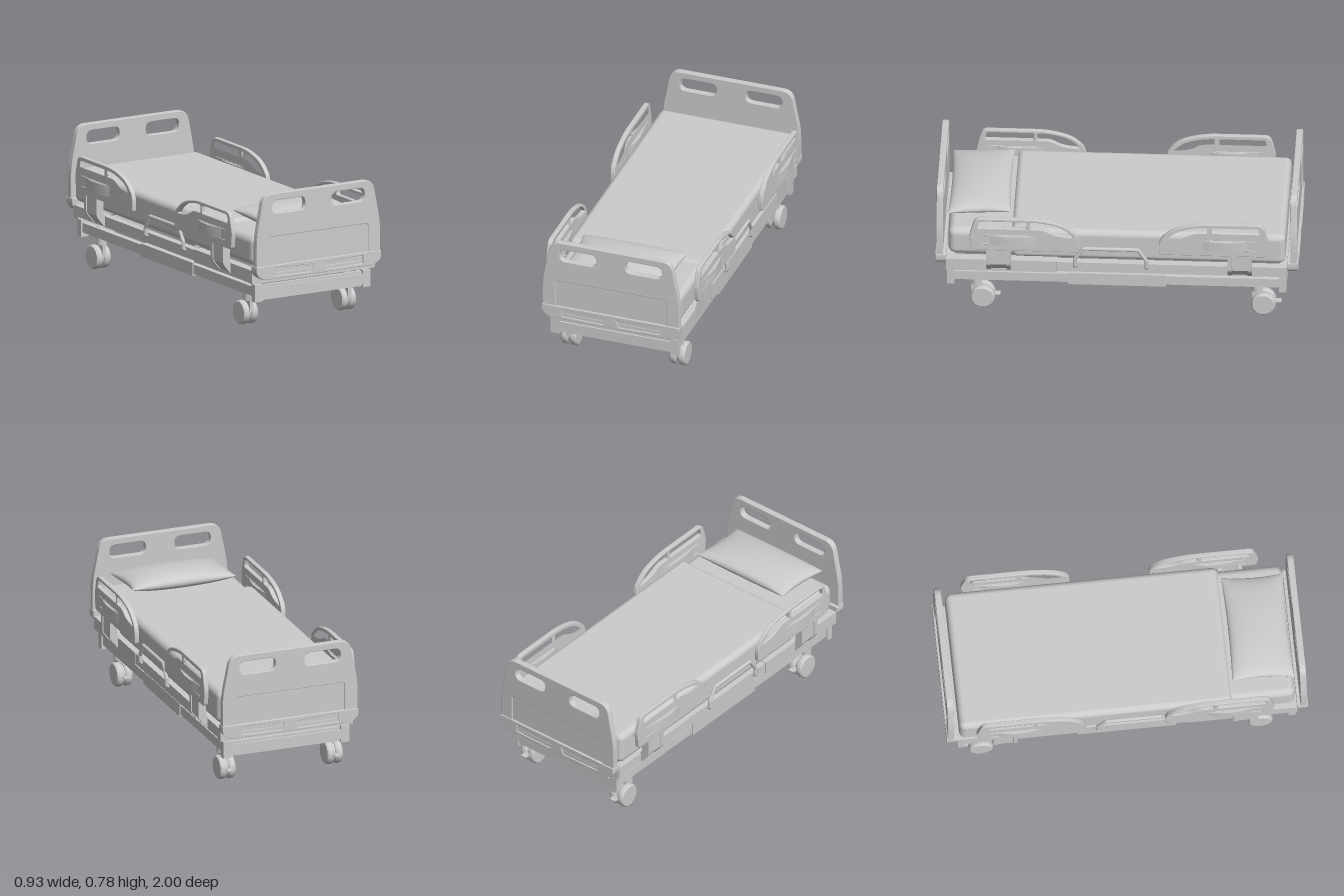
import * as THREE from 'three';
import { RoundedBoxGeometry } from 'three/addons/geometries/RoundedBoxGeometry.js';
import { toCreasedNormals } from 'three/addons/utils/BufferGeometryUtils.js';

const grey = new THREE.MeshStandardMaterial({ color: 0xcccccc });

export function createModel() {
  const root = new THREE.Group();

  function add(name, geometry, parent = root) {
    const mesh = new THREE.Mesh(geometry, grey);
    mesh.name = name;
    parent.add(mesh);
    return mesh;
  }
  // Box given by its lower and upper limits on each axis
  function box(name, x0, x1, y0, y1, z0, z1, parent = root) {
    const m = add(name, new THREE.BoxGeometry(x1 - x0, y1 - y0, z1 - z0), parent);
    m.position.set((x0 + x1) / 2, (y0 + y1) / 2, (z0 + z1) / 2);
  }
  function soft(name, w, h, d, r, x, y, z, parent = root) {
    const m = add(name, new RoundedBoxGeometry(w, h, d, 4, r), parent);
    m.position.set(x, y, z);
  }
  // Closed outline with rounded corners from [x, y, radius] points
  function rounded(points, Type = THREE.Shape) {
    const path = new Type();
    const n = points.length;
    points.forEach(([x, y, r], i) => {
      const p = new THREE.Vector2(x, y);
      const toward = (q) => new THREE.Vector2(q[0], q[1]).sub(p).setLength(r).add(p);
      const a = toward(points[(i + n - 1) % n]);
      const b = toward(points[(i + 1) % n]);
      if (i === 0) path.moveTo(a.x, a.y); else path.lineTo(a.x, a.y);
      if (r > 0) path.quadraticCurveTo(x, y, b.x, b.y);
    });
    path.closePath();
    return path;
  }
  const rect = (x0, x1, y0, y1, r) => [[x0, y0, r], [x1, y0, r], [x1, y1, r], [x0, y1, r]];
  // Extrusion from z = 0 to z = depth, bevel included
  function slab(shape, depth, bevel = 0) {
    const g = new THREE.ExtrudeGeometry(shape, {
      depth: depth - 2 * bevel, bevelEnabled: bevel > 0, bevelThickness: bevel,
      bevelSize: bevel, bevelOffset: -bevel, bevelSegments: 2, curveSegments: 10,
    });
    return toCreasedNormals(g.translate(0, 0, bevel), 0.3);
  }

  // Head and foot boards
  function endBoard(name) {
    const board = new THREE.Group();
    board.name = name;
    const outline = [[-0.36, 0.305, 0], [0.36, 0.305, 0], [0.4, 0.34, 0.02], [0.4, 0.54, 0.06],
      [0.352, 0.785, 0.055], [-0.352, 0.785, 0.055], [-0.4, 0.54, 0.06], [-0.4, 0.34, 0.02]];
    const panel = (recess) => {
      const shape = rounded(outline);
      for (const s of [-1, 1]) {
        shape.holes.push(rounded(rect(s * 0.192 - 0.107, s * 0.192 + 0.107, 0.671, 0.746, 0.037), THREE.Path));
      }
      if (recess) shape.holes.push(rounded(rect(-0.322, 0.322, 0.34, 0.541, 0.015), THREE.Path));
      return shape;
    };
    add('boardCore', slab(panel(false), 0.03, 0.004), board).position.z = 0.958;
    add('boardFace', slab(panel(true), 0.012, 0.004), board).position.z = 0.982;
    // Bumper with two shallow pockets in its outer skin
    const bumper = () => rounded([[-0.36, 0.303, 0.02], [0.36, 0.303, 0.02], [0.402, 0.335, 0.02],
      [0.402, 0.381, 0.005], [-0.402, 0.381, 0.005], [-0.402, 0.335, 0.02]]);
    add('boardBumper', slab(bumper(), 0.053, 0.003), board).position.z = 0.94;
    const skin = bumper();
    for (const s of [-1, 1]) {
      skin.holes.push(rounded([[s * 0.285, 0.32, 0], [s * 0.285, 0.366, 0], [s * 0.032, 0.357, 0], [s * 0.045, 0.316, 0]], THREE.Path));
    }
    add('bumperSkin', slab(skin, 0.012, 0.003), board).position.z = 0.988;
    root.add(board);
    return board;
  }
  endBoard('headBoard');
  endBoard('footBoard').rotation.y = Math.PI;

  // Mattress and blanket
  soft('mattress', 0.765, 0.168, 1.85, 0.04, 0, 0.451, 0.005);
  soft('blanket', 0.8, 0.187, 1.51, 0.035, 0, 0.462, -0.175);

  // Pillow: two grids swelling away from a pinched seam
  const pillow = new THREE.Group();
  pillow.name = 'pillow';
  for (const side of [1, -1]) {
    const g = new THREE.PlaneGeometry(2, 2, 36, 28).rotateX(-side * Math.PI / 2);
    const p = g.attributes.position;
    for (let i = 0; i < p.count; i++) {
      // Grid lines crowd toward the seam, where the swelling is steepest
      const u = Math.sin(p.getX(i) * Math.PI / 2), v = Math.sin(p.getZ(i) * Math.PI / 2);
      const swell = Math.pow(Math.max(0, (1 - u * u) * (1 - v * v)), 0.42);
      p.setXYZ(i, 0.305 * u * (1 - 0.05 * (1 - v * v)), side * 0.055 * swell, 0.172 * v * (1 - 0.05 * (1 - u * u)));
    }
    g.computeVertexNormals();
    add(side > 0 ? 'pillowTop' : 'pillowBottom', g, pillow);
  }
  pillow.position.set(0, 0.602, 0.762);
  pillow.rotation.x = 0.06;
  root.add(pillow);

  // Cross members of both frames
  for (const e of [-1, 1]) {
    box('upperCrossbar', -0.392, 0.392, 0.272, 0.345, e * 0.92 - 0.022, e * 0.92 + 0.022);
    box('lowerCrossbar', -0.335, 0.335, 0.185, 0.242, e * 0.915 - 0.017, e * 0.915 + 0.017);
    box('crossbarTopLip', -0.335, 0.335, 0.242, 0.256, e * 0.91 - 0.012, e * 0.91 + 0.012);
    box('crossbarBottomLip', -0.335, 0.335, 0.172, 0.185, e * 0.91 - 0.012, e * 0.91 + 0.012);
  }

  // Double-wheel castor, trailing toward the foot end
  const wheelProfile = [[0, -0.02], [0.06, -0.02], [0.066, -0.014], [0.068, -0.006],
    [0.068, 0.006], [0.066, 0.014], [0.06, 0.02], [0, 0.02]].map(([r, y]) => new THREE.Vector2(r, y));
  const wheelGeometry = toCreasedNormals(new THREE.LatheGeometry(wheelProfile, 40).rotateZ(Math.PI / 2), 0.6);
  function castor(x, z) {
    const c = new THREE.Group();
    c.name = 'castor';
    for (const s of [-1, 1]) add('wheel', wheelGeometry, c).position.set(s * 0.025, 0.071, -0.037);
    add('axle', new THREE.CylinderGeometry(0.055, 0.055, 0.03, 28).rotateZ(Math.PI / 2), c).position.set(0, 0.071, -0.037);
    box('fork', -0.012, 0.012, 0.08, 0.17, -0.03, 0.028, c);
    add('stem', new THREE.CylinderGeometry(0.029, 0.029, 0.105, 24), c).position.y = 0.197;
    box('brakePedal', -0.018, 0.018, 0.073, 0.079, -0.135, -0.1, c);
    box('brakeArm', -0.005, 0.005, 0.071, 0.081, -0.11, -0.03, c);
    c.position.set(x, 0, z);
    root.add(c);
  }

  // Side rail with two windows; f maps the head-end layout to the foot end
  function sideRail(s, f, name) {
    const rail = new THREE.Group();
    rail.name = name;
    const map = (pts, Type) => rounded(pts.map(([z, y, r]) => [f(z), y, r]), Type);
    const shape = map([[0.8, 0.447, 0.02], [0.81, 0.54, 0.02], [0.78, 0.655, 0.035], [0.41, 0.655, 0.08],
      [0.26, 0.61, 0.07], [0.203, 0.53, 0.04], [0.207, 0.447, 0.015]]);
    shape.holes.push(map([[0.765, 0.592, 0.012], [0.755, 0.637, 0.012], [0.495, 0.637, 0.01], [0.495, 0.592, 0.01]], THREE.Path));
    shape.holes.push(map([[0.475, 0.592, 0.01], [0.475, 0.637, 0.01], [0.41, 0.637, 0.06],
      [0.29, 0.603, 0.05], [0.237, 0.543, 0.012], [0.34, 0.555, 0.04], [0.4, 0.592, 0.03]], THREE.Path));
    const g = slab(shape, 0.026, 0.004).rotateY(-Math.PI / 2);
    add('railPanel', g, rail).position.x = s * 0.434 + 0.013;
    // Lens-shaped grip through the panel, with a rib above and below
    const lens = new THREE.Shape();
    lens.moveTo(-0.17, 0).quadraticCurveTo(0, 0.058, 0.17, 0).quadraticCurveTo(0, -0.058, -0.17, 0);
    const grip = slab(lens, 0.06).rotateX(Math.PI / 2).rotateY(Math.PI / 2);
    add('railGrip', grip, rail).position.set(s * 0.434, 0.547, f(0.57));
    for (const y of [0.488, 0.548]) soft('railRib', 0.032, 0.007, 0.26, 0.003, s * 0.434, y, f(0.61), rail);
    // Swing arms to the bed frame, joined by an outer plate
    for (const z of [0.595, 0.705]) {
      const arm = rounded([[s * 0.446, 0.46, 0], [s * 0.446, 0.348, 0.012], [s * 0.398, 0.288, 0.012],
        [s * 0.37, 0.278, 0], [s * 0.37, 0.33, 0], [s * 0.402, 0.36, 0.01], [s * 0.402, 0.46, 0]]);
      add('railArm', slab(arm, 0.024), rail).position.z = f(z) - 0.012;
    }
    const web = rounded([[s * 0.44, 0.45, 0], [s * 0.44, 0.35, 0], [s * 0.396, 0.295, 0], [s * 0.386, 0.302, 0],
      [s * 0.428, 0.355, 0], [s * 0.428, 0.45, 0]]);
    add('railArmWeb', slab(web, 0.1), rail).position.z = f(0.65) - 0.05;
    root.add(rail);
  }

  // Everything that repeats on both sides
  for (const s of [-1, 1]) {
    const sideBox = (name, x0, x1, ...rest) => box(name, Math.min(s * x0, s * x1), Math.max(s * x0, s * x1), ...rest);
    sideBox('upperRailHead', 0.345, 0.398, 0.278, 0.35, 0.33, 0.94);
    sideBox('upperRailFoot', 0.35, 0.393, 0.284, 0.344, -0.935, 0.33);
    sideBox('lowerRail', 0.328, 0.364, 0.193, 0.247, -0.9, 0.9);
    sideBox('lowerRailSleeve', 0.323, 0.37, 0.183, 0.257, -0.27, 0.27);
    for (const e of [-1, 1]) {
      sideBox('cornerBlock', 0.324, 0.373, 0.167, 0.264, e * 0.915 - 0.02, e * 0.915 + 0.02);
    }
    castor(s * 0.317, 0.778);
    castor(s * 0.317, -0.77);
    sideRail(s, (z) => z, 'headSideRail');
    sideRail(s, (z) => -0.03 - z, 'footSideRail');

    // Mattress keeper handle
    const path = new THREE.CurvePath();
    const pts = [[0.385, 0.325, 0.23], [0.405, 0.33, 0.23], [0.405, 0.375, 0.23], [0.405, 0.447, 0.185],
      [0.405, 0.447, -0.12], [0.405, 0.375, -0.165], [0.405, 0.33, -0.165], [0.385, 0.325, -0.165]]
      .map(([x, y, z]) => new THREE.Vector3(s * x, y, z));
    for (let i = 1; i < pts.length; i++) path.add(new THREE.LineCurve3(pts[i - 1], pts[i]));
    add('mattressKeeper', new THREE.TubeGeometry(path, 90, 0.011, 10, false));
  }
  return root;
}
